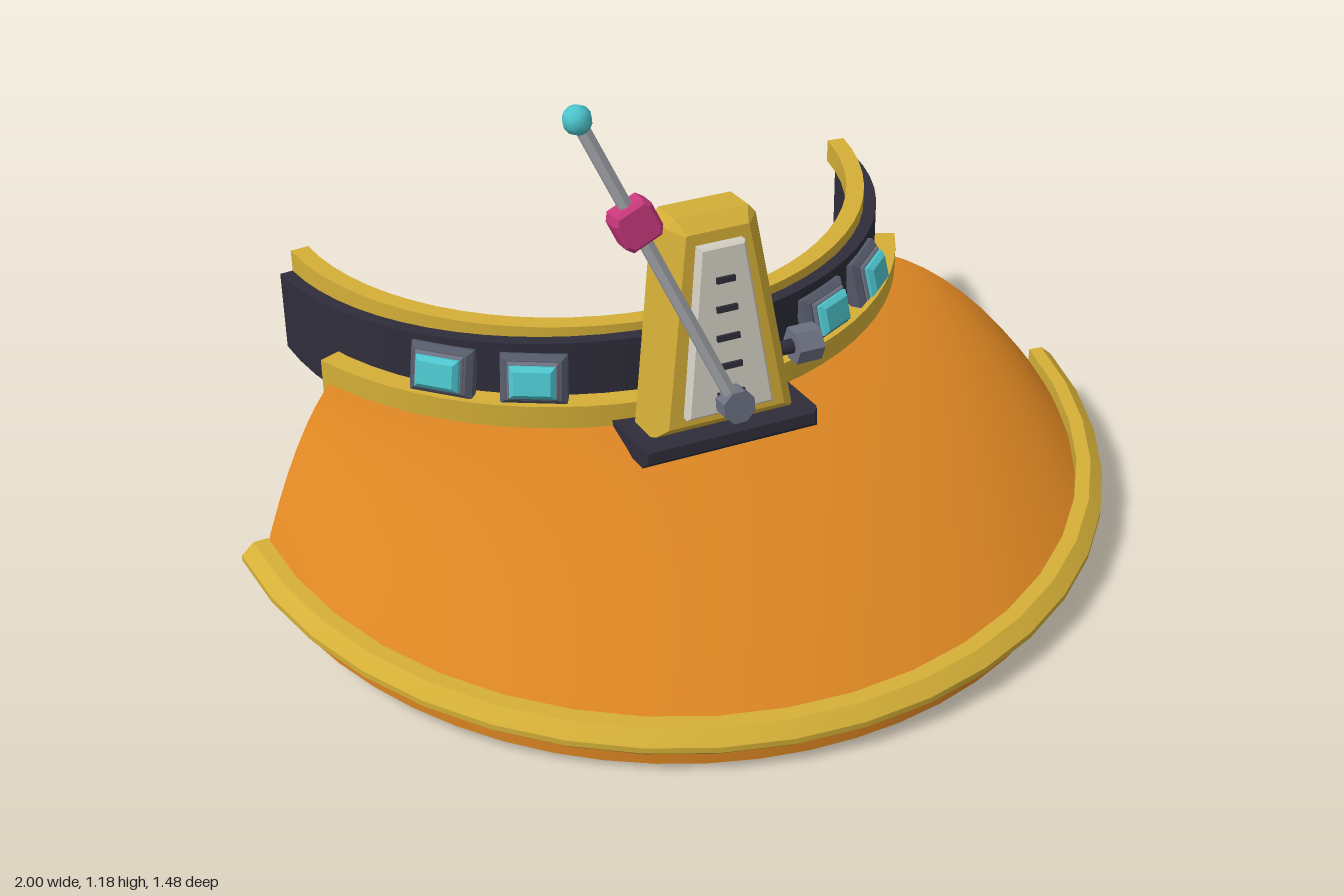
import * as THREE from 'three';
import { toCreasedNormals } from 'three/addons/utils/BufferGeometryUtils.js';

const paint = (name, color) => {
  const m = new THREE.MeshStandardMaterial({ color });
  m.name = name;
  return m;
};

// Sweep a counter-clockwise section (even point count) for u = -1..1 and cap both ends.
function sweep(section, steps) {
  const rows = [];
  for (let i = 0; i <= steps; i++) rows.push(section((i / steps) * 2 - 1));
  const pos = [];
  const quad = (a, b, c, d) => [a, b, c, a, c, d].forEach(p => pos.push(p.x, p.y, p.z));
  const n = rows[0].length;
  for (let i = 0; i < steps; i++) {
    for (let j = 0; j < n; j++) {
      const k = (j + 1) % n;
      quad(rows[i][j], rows[i + 1][j], rows[i + 1][k], rows[i][k]);
    }
  }
  const s = rows[0], e = rows[steps];
  for (let j = 0; j < n / 2 - 1; j++) {
    quad(s[j], s[j + 1], s[n - 2 - j], s[n - 1 - j]);
    quad(e[n - 1 - j], e[n - 2 - j], e[j + 1], e[j]);
  }
  const g = new THREE.BufferGeometry();
  g.setAttribute('position', new THREE.Float32BufferAttribute(pos, 3));
  g.computeVertexNormals();
  return toCreasedNormals(g, 0.5);
}

// Point on a horizontal arc, angle measured from the front.
const onArc = (r, a, y, cz) => new THREE.Vector3(r * Math.sin(a), y, cz + r * Math.cos(a));

// Flat outline extruded from z0 to z1 with one chamfer inside its outline.
function slab(points, z0, z1, bevel) {
  const shape = new THREE.Shape(points.map(p => new THREE.Vector2(...p)));
  const g = new THREE.ExtrudeGeometry(shape, {
    depth: z1 - z0 - 2 * bevel, bevelEnabled: bevel > 0, bevelSegments: 1,
    bevelSize: bevel, bevelThickness: bevel, bevelOffset: -bevel,
  });
  return g.translate(0, 0, z0 + bevel);
}
const rect = (w, h) => [[-w / 2, -h / 2], [w / 2, -h / 2], [w / 2, h / 2], [-w / 2, h / 2]];

export function createModel() {
  const gold = paint('gold', 0xd4af37);
  const orange = paint('orange', 0xdb8522);
  const dark = paint('dark slate', 0x2e2d3a);
  const grey = paint('steel grey', 0x6c7182);
  const frameGrey = paint('frame grey', 0x555a69);
  const silver = paint('silver', 0xa9abb0);
  const ivory = paint('ivory', 0xd6d1c6);
  const teal = paint('teal', 0x4cc4cc);
  const pink = paint('pink', 0xc9387d);

  const model = new THREE.Group();
  model.name = 'visor';
  const add = (parent, name, geometry, material, x = 0, y = 0, z = 0) => {
    const mesh = new THREE.Mesh(geometry, material);
    mesh.name = name;
    mesh.position.set(x, y, z);
    parent.add(mesh);
    return mesh;
  };
  const deg = Math.PI / 180;
  const headZ = -0.813, rimZ = -0.262;

  // Head band, tapering in height towards its ends
  add(model, 'headBand', sweep(u => {
    const a = u * 84 * deg, k = 1 - Math.cos(a);
    const low = 0.28 + 0.055 * k, high = 0.55 - 0.035 * k;
    return [[0.685, low], [0.735, low], [0.735, high], [0.685, high]].map(([r, y]) => onArc(r, a, y, headZ));
  }, 32), dark);
  add(model, 'bandTopTrim', sweep(u =>
    [[0.663, 0.515], [0.705, 0.515], [0.705, 0.57], [0.663, 0.57]].map(([r, y]) => onArc(r, u * 84 * deg, y, headZ)),
  32), gold);
  add(model, 'brimJoinTrim', sweep(u =>
    [[0.73, 0.32], [0.785, 0.32], [0.785, 0.42], [0.73, 0.42]].map(([r, y]) => onArc(r, u * 66 * deg, y, headZ)),
  28), gold);

  // Domed brim between the band arc and the wider, sloping outer arc
  const rimBase = z => 0.04 + 0.09 * (0.74 - z) / 0.94;
  add(model, 'brim', sweep(u => {
    const inner = onArc(0.765, u * 65 * deg, 0.37, headZ);
    const outer = onArc(0.96, u * 86 * deg, 0, rimZ);
    outer.y = rimBase(outer.z) + 0.005;
    const top = [];
    for (let i = 0; i <= 8; i++) {
      const t = i / 8, p = inner.clone().lerp(outer, t);
      p.y += 0.22 * t * (1 - t);
      top.push(p);
    }
    const bottom = top.map(p => p.clone().setY(p.y - 0.042));
    return [...bottom, ...top.reverse()];
  }, 28), orange);
  add(model, 'brimRim', sweep(u =>
    [[0.94, 0], [0.975, 0], [1, 0.025], [1, 0.038], [0.972, 0.063], [0.94, 0.063]].map(([r, y]) => {
      const p = onArc(r, u * 86.5 * deg, 0, rimZ);
      p.y = rimBase(p.z) + y;
      return p;
    }),
  20), gold);

  // Two buttons on each side of the band
  for (const side of [-1, 1]) {
    for (const angle of [27.5, 43]) {
      const button = new THREE.Group();
      button.name = side > 0 ? 'leftButton' : 'rightButton';
      const a = side * angle * deg;
      button.position.copy(onArc(0.742, a, 0.468, headZ));
      button.rotation.set(-13 * deg, a, 0, 'YXZ');
      add(button, 'buttonFrame', slab(rect(0.145, 0.112), -0.02, 0.025, 0.012), frameGrey);
      add(button, 'buttonCollar', slab(rect(0.112, 0.084), 0.015, 0.033, 0.004), grey);
      add(button, 'buttonCap', slab(rect(0.1, 0.072), 0.02, 0.05, 0.01), teal);
      model.add(button);
    }
  }

  // Metronome, leaning back
  const metronome = new THREE.Group();
  metronome.name = 'metronome';
  metronome.position.set(0, 0.38, 0.017);
  metronome.rotation.x = -6.5 * deg;
  model.add(metronome);
  add(metronome, 'metronomeBody', slab(
    [[-0.167, 0], [0.167, 0], [0.1, 0.465], [0.083, 0.485], [-0.083, 0.485], [-0.1, 0.465]], -0.072, 0.072, 0.03), gold);
  add(metronome, 'metronomeBase', slab(rect(0.41, 0.045), -0.095, 0.095, 0.01), dark, 0, -0.014, 0);
  add(metronome, 'scalePanel', slab([[-0.1, 0.05], [0.1, 0.05], [0.052, 0.43], [-0.052, 0.43]], 0.06, 0.096, 0.006), ivory);
  for (let i = 0; i < 5; i++) {
    add(metronome, 'scaleMark', new THREE.BoxGeometry(0.062 - i * 0.005, 0.013, 0.008), dark, 0, 0.095 + i * 0.065, 0.099);
  }

  // Winding knob on the left side
  const knob = new THREE.CylinderGeometry(0.042, 0.042, 0.06, 6).toNonIndexed();
  knob.computeVertexNormals();
  add(metronome, 'windingKnob', knob.rotateZ(Math.PI / 2), grey, 0.222, 0.12, 0);
  add(metronome, 'knobStem', new THREE.CylinderGeometry(0.017, 0.017, 0.09, 8).rotateZ(Math.PI / 2), dark, 0.165, 0.12, 0);

  // Pendulum swung to the right
  const pendulum = new THREE.Group();
  pendulum.name = 'pendulum';
  pendulum.position.set(0, 0.078, 0.117);
  pendulum.rotation.z = 24 * deg;
  metronome.add(pendulum);
  const pivot = new THREE.CylinderGeometry(0.038, 0.038, 0.045, 8).toNonIndexed();
  pivot.computeVertexNormals();
  add(pendulum, 'pivot', pivot.rotateX(Math.PI / 2), grey);
  const rod = new THREE.CylinderGeometry(0.016, 0.016, 0.74, 6).toNonIndexed();
  rod.computeVertexNormals();
  add(pendulum, 'rod', rod, silver, 0, 0.37, 0);
  add(pendulum, 'slidingWeight', slab(
    [[-0.034, -0.046], [0.034, -0.046], [0.046, -0.028], [0.046, 0.028],
      [0.034, 0.046], [-0.034, 0.046], [-0.046, 0.028], [-0.046, -0.028]], -0.028, 0.028, 0.008), pink, 0, 0.492, 0);
  add(pendulum, 'rodTip', new THREE.SphereGeometry(0.031, 8, 6), teal, 0, 0.75, 0);

  return model;
}
